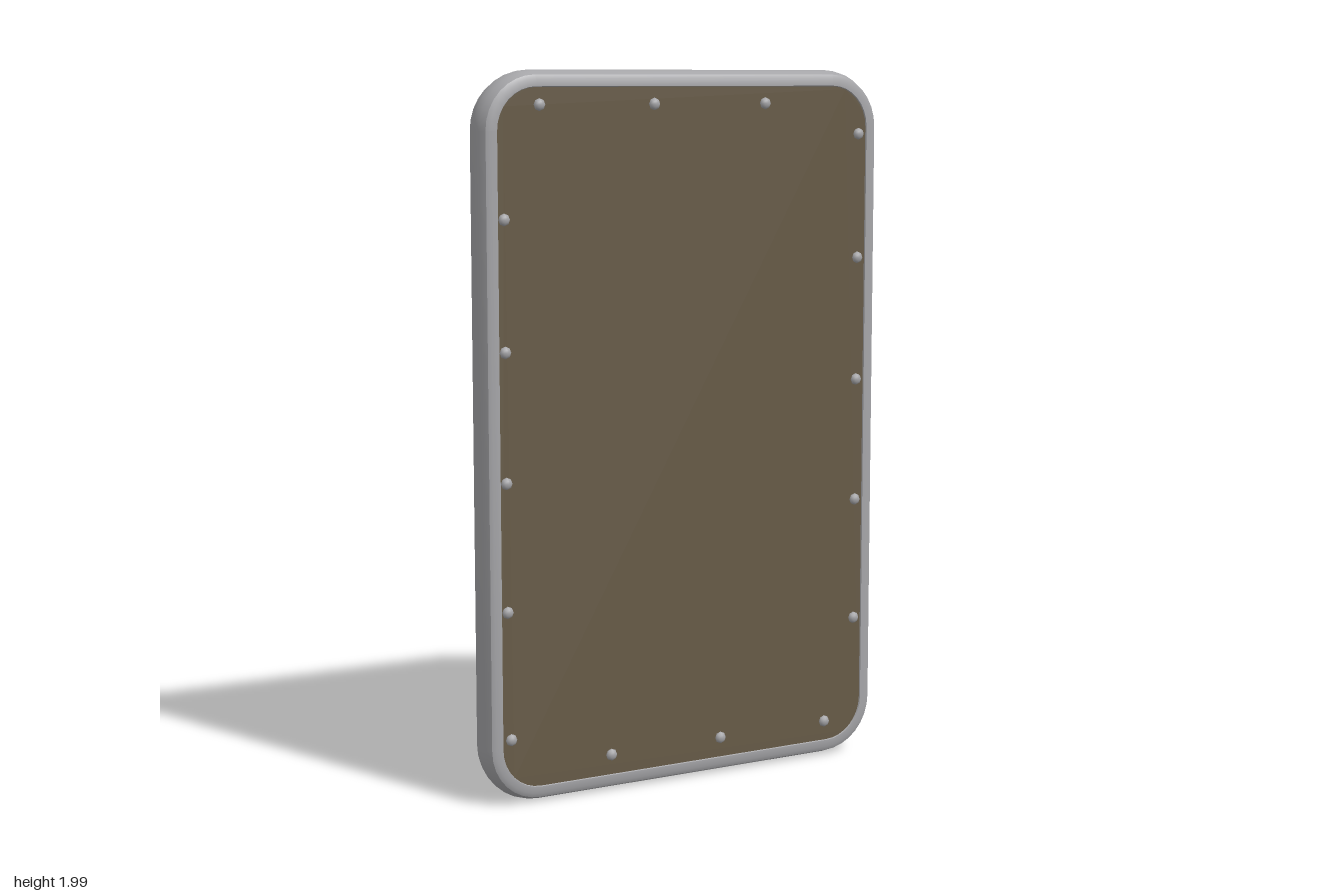
import * as THREE from 'three';
import { toCreasedNormals } from 'three/addons/utils/BufferGeometryUtils.js';

const HALF_W = 0.63, HALF_H = 0.997, CORNER = 0.16, MID_Y = 1;

// Rounded rectangle outline, counter-clockwise, inset from the outer edge
function outline(inset, steps = 8) {
  const r = CORNER - inset, pts = [];
  const centres = [[1, 1], [-1, 1], [-1, -1], [1, -1]];
  centres.forEach(([sx, sy], q) => {
    for (let k = 0; k <= steps; k++) {
      const a = (q + k / steps) * Math.PI / 2;
      pts.push(new THREE.Vector2(
        sx * (HALF_W - CORNER) + r * Math.cos(a),
        sy * (HALF_H - CORNER) + r * Math.sin(a)));
    }
  });
  return pts;
}

// Rim: a bulging cross-section of [inset, z] swept around the outline
function rimGeometry() {
  const profile = [[0.046, 0.004], [0.044, 0], [0.02, 0], [0.009, 0.007], [0.002, 0.03], [0, 0.05],
    [0.004, 0.073], [0.013, 0.094], [0.025, 0.1], [0.044, 0.1], [0.046, 0.096]];
  const rings = profile.map(([inset, z]) => outline(inset).map(p => [p.x, p.y, z]));
  const n = rings[0].length, m = rings.length, index = [];
  for (let j = 0; j < m - 1; j++) {
    for (let i = 0; i < n; i++) {
      const k = (i + 1) % n;
      const a = j * n + i, b = j * n + k, c = a + n, d = b + n;
      index.push(a, b, d, a, d, c);
    }
  }
  const g = new THREE.BufferGeometry();
  g.setAttribute('position', new THREE.Float32BufferAttribute(rings.flat(2), 3));
  g.setIndex(index);
  return toCreasedNormals(g, 0.6);
}

// Straight prism from 2D points
function prism(points, depth) {
  const shape = new THREE.Shape(points.map(p => new THREE.Vector2(...p)));
  return new THREE.ExtrudeGeometry(shape, { depth, bevelEnabled: false });
}

export function createModel() {
  const group = new THREE.Group();
  const wood = new THREE.MeshStandardMaterial({ color: 0x665a46 });
  wood.name = 'brown wood';
  const metal = new THREE.MeshStandardMaterial({ color: 0xa6a6a9 });
  metal.name = 'grey metal';

  const add = (name, geometry, material, x = 0, y = 0, z = 0) => {
    const mesh = new THREE.Mesh(geometry, material);
    mesh.name = name;
    mesh.position.set(x, y, z);
    group.add(mesh);
    return mesh;
  };

  // Body: rim and flat board
  add('rim', rimGeometry(), metal, 0, MID_Y, 0);
  const board = new THREE.Shape(outline(0.045));
  add('board', new THREE.ExtrudeGeometry(board, { depth: 0.093, bevelEnabled: false }),
    wood, 0, MID_Y, 0.0035);

  // Rivets around the front edge
  const rivet = new THREE.SphereGeometry(0.017, 8, 6).rotateX(Math.PI / 2).scale(1, 1, 0.7);
  const spots = [[0.245, 1.905], [-0.11, 1.905], [-0.46, 1.905],
    [-0.25, 0.105], [0.105, 0.105], [0.46, 0.105], [-0.56, 0.19]];
  for (let k = 0; k < 4; k++) spots.push([-0.567, 0.545 + 0.353 * k]);
  for (let k = 0; k < 5; k++) spots.push([0.56, 0.405 + 0.353 * k]);
  spots.forEach(([x, y]) => add('rivet', rivet, metal, x, y, 0.097));

  // Upright brace on the back with chamfered long edges (drawn in x, -z)
  const brace = prism([[-0.06, -0.005], [0.06, -0.005], [0.06, 0.039], [0.046, 0.047],
    [-0.046, 0.047], [-0.06, 0.039]], 1.71).rotateX(-Math.PI / 2);
  add('brace', brace, wood, 0, 0.147, 0);

  // Grip: eight-sided bar along x (drawn in -z, y)
  const grip = prism([[0.053, -0.02], [0.062, -0.037], [0.094, -0.037], [0.105, -0.02],
    [0.105, 0.02], [0.094, 0.037], [0.062, 0.037], [0.053, 0.02]], 0.49)
    .translate(0, 0, -0.245).rotateY(Math.PI / 2);
  add('grip', grip, wood, 0, 1.003, 0);

  // Bands over the grip and ball ends
  const band = prism([[-0.038, 0.085], [0.038, 0.085], [0.038, 0.105], [0.03, 0.111],
    [-0.03, 0.111], [-0.038, 0.105]], 0.12).translate(0, 0, -0.06).rotateX(-Math.PI / 2);
  const ball = new THREE.SphereGeometry(0.015, 6, 4);
  for (const s of [-1, 1]) {
    add('gripBand', band, wood, s * 0.173, 1.003, 0);
    add('gripStud', ball, metal, s * 0.27, 1.003, -0.057);
  }
  return group;
}
